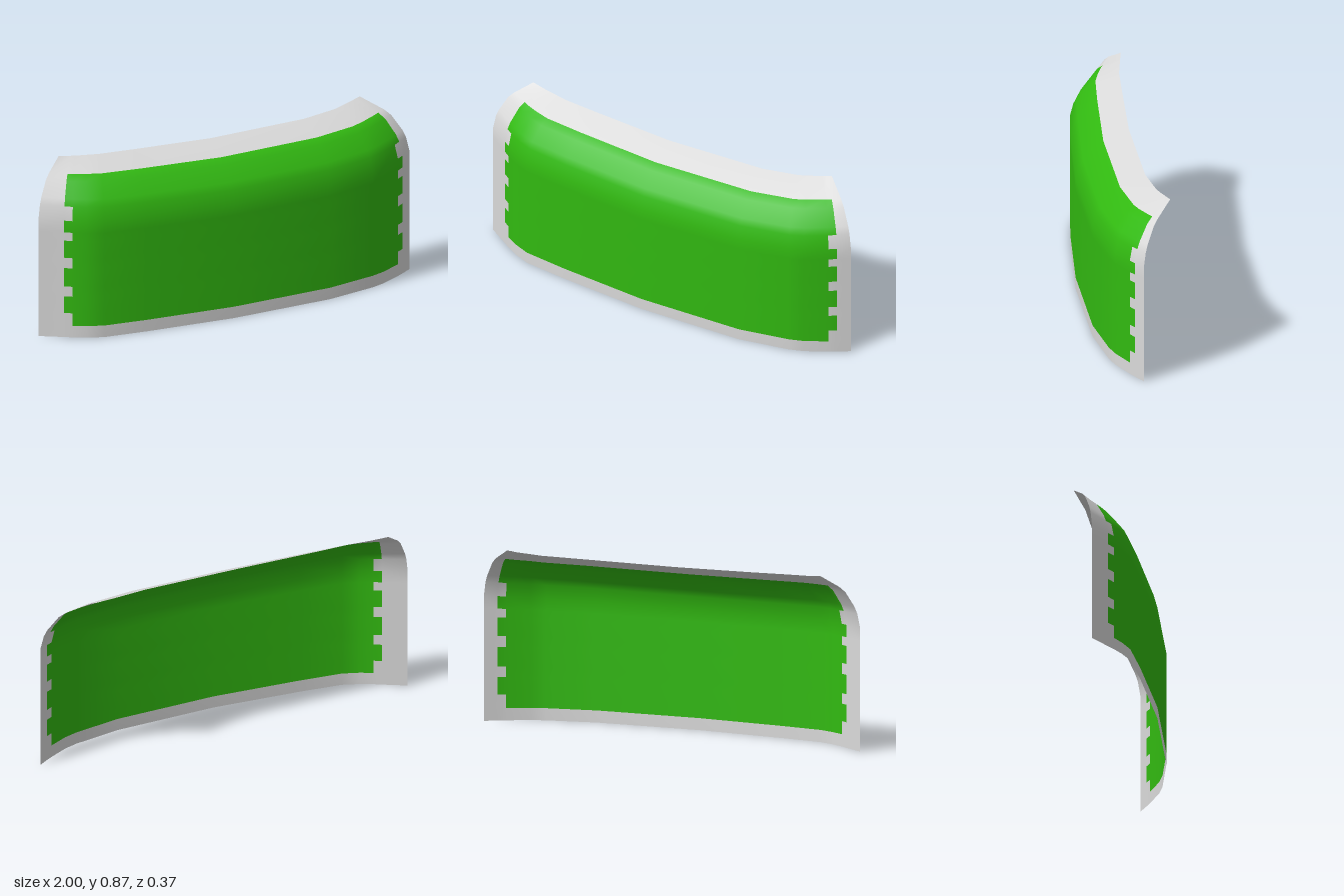
import * as THREE from 'three';

// Columns of the curved sheet: foot x, foot z, then tip x, y, z
const columns = [
  [-1, -0.01, -0.84, 0.865, -0.12],
  [-0.895, 0.055, -0.78, 0.86, -0.11],
  [-0.86, 0.078, -0.76, 0.858, -0.107],
  [-0.8, 0.11, -0.71, 0.856, -0.1],
  [-0.72, 0.14, -0.64, 0.853, -0.09],
  [-0.5, 0.16, -0.46, 0.848, -0.085],
  [-0.05, 0.183, -0.05, 0.84, -0.075],
  [0.48, 0.157, 0.46, 0.845, -0.1],
  [0.73, 0.105, 0.64, 0.852, -0.135],
  [0.8, 0.08, 0.69, 0.858, -0.15],
  [0.905, 0.022, 0.755, 0.866, -0.172],
  [0.94, 0, 0.775, 0.87, -0.178],
  [0.995, -0.037, 0.8, 0.874, -0.185],
];

// Rows: height fraction, how far the sheet has leaned from foot to tip
const rows = [
  [0, 0], [0.07, 0], [0.145, 0], [0.245, 0], [0.305, 0], [0.415, 0],
  [0.477, 0], [0.58, 0], [0.63, 0], [0.7, 0], [0.78, 0.07], [0.82, 0.14],
  [0.905, 0.37], [0.935, 0.52], [1, 1],
];

// Row bands where the border bites into the panel sides
const notchBands = [1, 3, 5, 7, 9];

function isPanel(i, j) {
  const last = columns.length - 2;
  if (j === 0 || j === rows.length - 2 || i === 0 || i === last) return false;
  const toothColumn = i === 1 || i === last - 1;
  return !(toothColumn && notchBands.includes(j));
}

export function createModel() {
  const border = new THREE.MeshStandardMaterial({ color: 0xdadada, side: THREE.DoubleSide });
  border.name = 'light grey border';
  const panel = new THREE.MeshStandardMaterial({ color: 0x32ba11, side: THREE.DoubleSide });
  panel.name = 'green panel';

  // Every column rises straight, then bends back to its tip
  const positions = [];
  for (const [f, w] of rows) {
    for (const [x, z, tx, ty, tz] of columns) {
      positions.push(x + w * (tx - x), f * ty, z + w * (tz - z));
    }
  }

  // Sort the cells into border and panel faces sharing one smooth surface
  const n = columns.length;
  const faces = [[], []];
  for (let j = 0; j < rows.length - 1; j++) {
    for (let i = 0; i < n - 1; i++) {
      const a = j * n + i, b = a + 1, c = b + n, d = a + n;
      faces[isPanel(i, j) ? 1 : 0].push(a, b, c, a, c, d);
    }
  }

  const geometry = new THREE.BufferGeometry();
  geometry.setAttribute('position', new THREE.Float32BufferAttribute(positions, 3));
  geometry.setIndex([...faces[0], ...faces[1]]);
  geometry.addGroup(0, faces[0].length, 0);
  geometry.addGroup(faces[0].length, faces[1].length, 1);
  geometry.computeVertexNormals();

  const sheet = new THREE.Mesh(geometry, [border, panel]);
  sheet.name = 'curvedWindowPane';

  const model = new THREE.Group();
  model.name = 'curvedWindow';
  model.add(sheet);
  return model;
}
